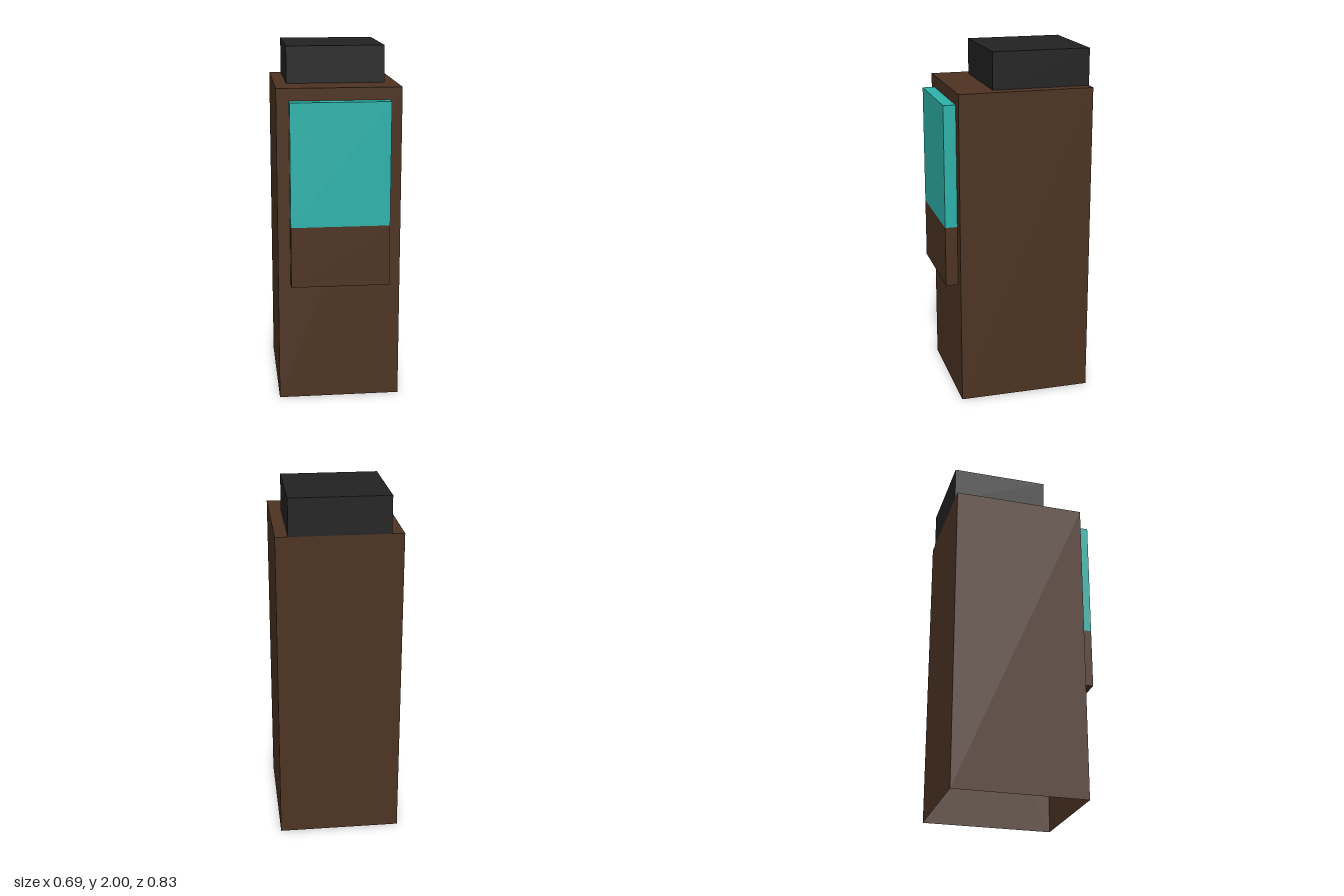
import * as THREE from 'three';

const U = 2 / 29; // one grid unit of the blocky design

// Face order of a box: +x, -x, +y, -y, +z, -z
const FACES = ['right', 'left', 'top', 'bottom', 'front', 'back'];

// Box from min/max corners in grid units, leaving out the named faces
function openBox(name, material, min, max, omit) {
  const size = max.map((v, i) => (v - min[i]) * U);
  const geometry = new THREE.BoxGeometry(...size);
  const kept = [];
  FACES.forEach((face, f) => {
    if (omit.includes(face)) return;
    for (let i = f * 6; i < f * 6 + 6; i++) kept.push(geometry.index.getX(i));
  });
  geometry.setIndex(kept);
  geometry.clearGroups();
  geometry.translate(...max.map((v, i) => ((v + min[i]) / 2) * U));
  const mesh = new THREE.Mesh(geometry, material);
  mesh.name = name;
  return mesh;
}

function makeMaterial(name, color) {
  const material = new THREE.MeshStandardMaterial({ color, side: THREE.DoubleSide });
  material.name = name;
  return material;
}

export function createModel() {
  const brown = makeMaterial('darkBrown', 0x4d3322);
  const teal = makeMaterial('teal', 0x2db3ab);
  const black = makeMaterial('black', 0x222222);

  const model = new THREE.Group();
  model.name = 'casing';
  model.add(
    // hollow shell, open underneath
    openBox('body', brown, [-5, 0, -6], [5, 26, 5], ['bottom']),
    // block on top, flush with the back
    openBox('cap', black, [-4, 26, -6], [4, 29, 2], ['bottom']),
    // raised front panel in two colours
    openBox('upperPanel', teal, [-4, 15, 5], [4, 25, 6], ['back', 'bottom']),
    openBox('lowerPanel', brown, [-4, 10, 5], [4, 15, 6], ['back', 'top']),
  );
  return model;
}
